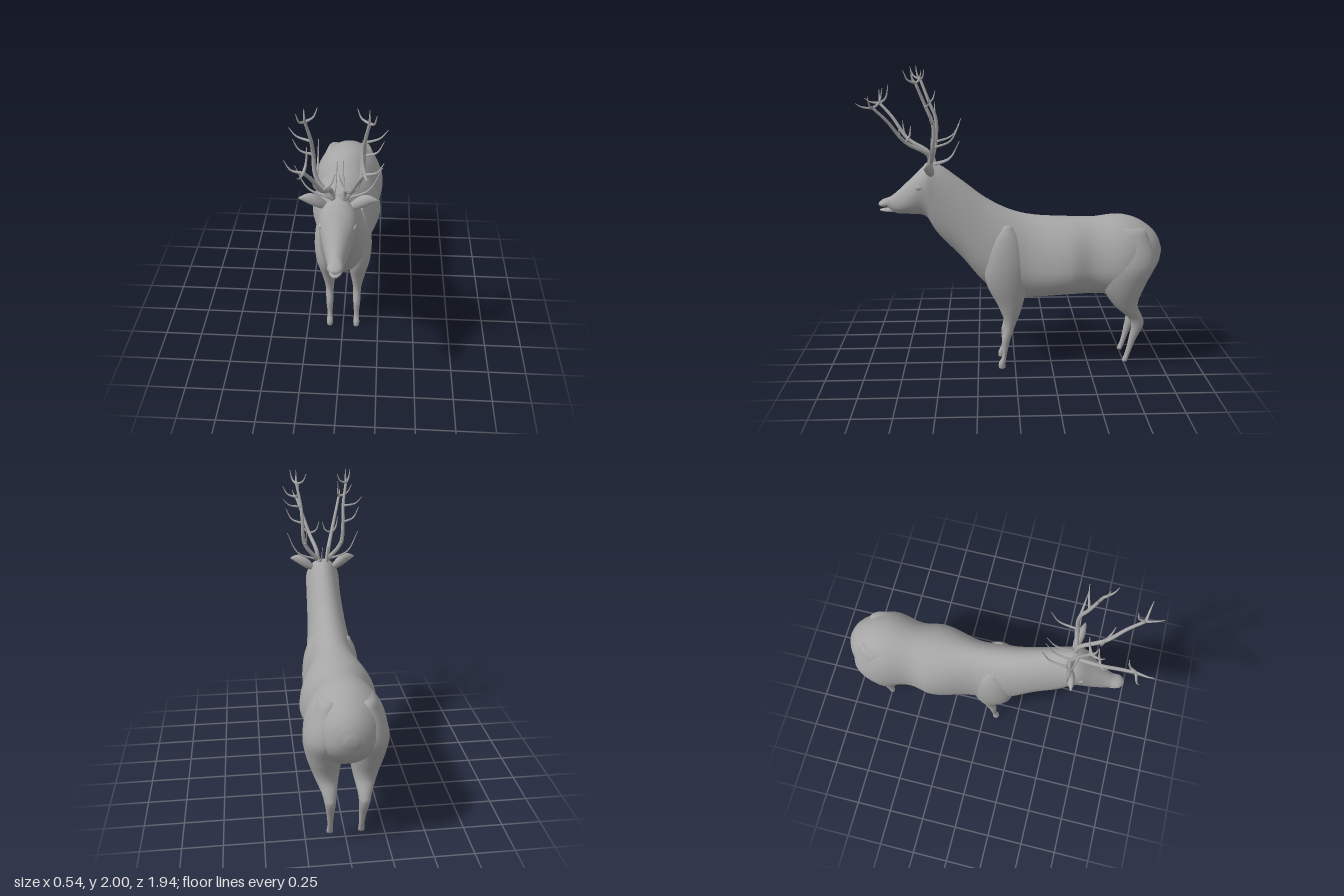
import * as THREE from 'three';

const hide = new THREE.MeshStandardMaterial({ color: 0xa6a6a6 });
hide.name = 'grey hide';

// Closed skin through rings; the winding is turned outward by its signed volume.
function skin(rings) {
  const n = rings[0].length, pos = rings.flat(2), idx = [];
  for (let r = 0; r < rings.length - 1; r++)
    for (let i = 0; i < n; i++) {
      const a = r * n + i, b = r * n + (i + 1) % n;
      idx.push(a, b, a + n, b, b + n, a + n);
    }
  for (const r of [0, rings.length - 1]) {
    const c = pos.length / 3;
    for (let k = 0; k < 3; k++) pos.push(rings[r].reduce((s, p) => s + p[k], 0) / n);
    for (let i = 0; i < n; i++) {
      const a = r * n + i, b = r * n + (i + 1) % n;
      r ? idx.push(a, b, c) : idx.push(b, a, c);
    }
  }
  const p = i => new THREE.Vector3().fromArray(pos, i * 3);
  let volume = 0;
  for (let i = 0; i < idx.length; i += 3) volume += p(idx[i]).dot(p(idx[i + 1]).cross(p(idx[i + 2])));
  if (volume < 0) idx.reverse();
  const g = new THREE.BufferGeometry();
  g.setAttribute('position', new THREE.Float32BufferAttribute(pos, 3));
  g.setIndex(idx);
  g.computeVertexNormals();
  return g;
}

const ring = (sides, point) => Array.from({ length: sides }, (_, j) => point(j / sides * Math.PI * 2));

// Smooth loft: rows start with the position along the axis, point() shapes each ring.
function loft(rows, point, sides = 32, sub = 6) {
  const curve = new THREE.CubicInterpolant(rows.map(r => r[0]), rows.flatMap(r => r.slice(1)), 3);
  const rings = [];
  for (let i = 0; i <= (rows.length - 1) * sub; i++) {
    const k = Math.min(Math.floor(i / sub), rows.length - 2);
    const t = THREE.MathUtils.lerp(rows[k][0], rows[k + 1][0], i / sub - k);
    const v = [...curve.evaluate(t)];
    rings.push(ring(sides, a => point(t, v, a)));
  }
  return skin(rings);
}

// Upright section, widest below the middle on the body and higher up at the brow
const upright = (z, [top, bottom, w], a) => {
  const rise = 0.4 + 0.22 * Math.exp(-(((z - 0.6) / 0.08) ** 2));
  const mid = THREE.MathUtils.lerp(bottom, top, rise), c = Math.cos(a);
  return [w * Math.sin(a), mid + c * (c > 0 ? top - mid : mid - bottom), z];
};

// Level leg section; its centre moves out as the leg widens
const level = (side, lean) => (y, [front, back, w], a) => [
  side * (0.092 + lean * w + w * Math.cos(a)), y,
  (front + back) / 2 + (front - back) / 2 * Math.sin(a),
];

// Tapered tube through points
function horn(points, r0, r1) {
  const curve = new THREE.CatmullRomCurve3(points);
  const n = points.length * 4, { normals, binormals } = curve.computeFrenetFrames(n);
  return skin(normals.map((normal, i) => {
    const c = curve.getPointAt(i / n), r = THREE.MathUtils.lerp(r0, r1, i / n);
    return ring(8, a => c.clone().addScaledVector(normal, r * Math.cos(a))
      .addScaledVector(binormals[i], r * Math.sin(a)).toArray());
  }));
}

// z, top, bottom, half width
const BODY = [
  [-0.972, 0.83, 0.78, 0.03], [-0.95, 0.89, 0.71, 0.09], [-0.88, 0.97, 0.625, 0.17],
  [-0.72, 1.04, 0.52, 0.248], [-0.5, 1.027, 0.51, 0.217], [-0.35, 1.03, 0.505, 0.243],
  [-0.08, 1.052, 0.48, 0.175], [0.05, 1.09, 0.485, 0.17], [0.2, 1.17, 0.585, 0.148],
  [0.35, 1.285, 0.765, 0.128], [0.52, 1.395, 0.95, 0.118], [0.57, 1.385, 1.035, 0.116],
  [0.68, 1.285, 1.06, 0.083], [0.8, 1.18, 1.08, 0.047], [0.82, 1.17, 1.105, 0.045],
  [0.86, 1.155, 1.11, 0.041], [0.882, 1.137, 1.118, 0.018],
];
const JAW = [[0.72, 1.12, 1.07, 0.03], [0.84, 1.1, 1.077, 0.035], [0.875, 1.095, 1.083, 0.014]];

// y, front z, back z, half width
const FRONT_LEG = [
  [0, 0.112, 0.066, 0.02], [0.03, 0.112, 0.066, 0.022], [0.08, 0.09, 0.06, 0.018],
  [0.2, 0.09, 0.035, 0.025], [0.31, 0.07, 0, 0.029], [0.44, 0.11, -0.045, 0.052],
  [0.6, 0.188, -0.075, 0.08], [0.75, 0.2, -0.078, 0.086], [0.92, 0.15, -0.03, 0.062], [1, 0.08, 0.02, 0.03],
];
const HIND_LEG = [
  [0.04, -0.725, -0.76, 0.02], [0.1, -0.745, -0.78, 0.017], [0.2, -0.765, -0.815, 0.022],
  [0.32, -0.775, -0.862, 0.036], [0.36, -0.752, -0.85, 0.043], [0.45, -0.655, -0.812, 0.075],
  [0.6, -0.565, -0.855, 0.112], [0.75, -0.55, -0.915, 0.12], [0.98, -0.66, -0.84, 0.05],
];

// Each beam: its path, and its tines as a path index with a tip
const BEAMS = [
  {
    name: 'forwardBeam',
    path: [[0.03, 1.38, 0.54], [0.04, 1.45, 0.55], [0.08, 1.54, 0.69], [0.125, 1.675, 0.79], [0.155, 1.76, 0.87]],
    tines: [
      [4, 0.175, 1.79, 0.97], [4, 0.25, 1.84, 0.885], [4, 0.14, 1.88, 0.81],
      [2, 0.13, 1.65, 0.725], [2, 0.01, 1.63, 0.66], [0, 0.018, 1.53, 0.355],
    ],
  },
  {
    name: 'uprightBeam',
    path: [[0.035, 1.39, 0.54], [0.125, 1.51, 0.515], [0.14, 1.66, 0.51], [0.145, 1.765, 0.55], [0.17, 1.91, 0.605]],
    tines: [
      [4, 0.208, 1.99, 0.675], [4, 0.17, 2, 0.632], [4, 0.105, 1.98, 0.575],
      [3, 0.27, 1.83, 0.52], [2, 0.25, 1.76, 0.525], [0, 0.245, 1.59, 0.52], [1, 0.125, 1.665, 0.345],
    ],
  },
];

// Leaf-shaped ear reaching sideways from the temple
const ear = side => skin(Array.from({ length: 17 }, (_, i) => {
  const t = i / 16, h = 0.004 + 0.036 * Math.sin(Math.PI * (0.12 + 0.88 * t));
  return ring(20, a => [
    side * (0.06 + 0.165 * t), 1.33 + 0.07 * Math.sin(t * 1.7) + h * Math.cos(a),
    0.53 + 0.03 * t + 0.7 * h * Math.sin(a),
  ]);
}));

export function createModel() {
  const stag = new THREE.Group();
  stag.name = 'stag';
  const add = (name, geometry, parent = stag) => {
    const m = new THREE.Mesh(geometry, hide);
    m.name = name;
    parent.add(m);
    return m;
  };

  add('bodyNeckAndHead', loft(BODY, upright, 48));
  add('lowerJaw', loft(JAW, upright));

  for (const [label, side] of [['left', 1], ['right', -1]]) {
    add(label + 'FrontLeg', loft(FRONT_LEG, level(side, 0.15)));
    add(label + 'HindLeg', loft(HIND_LEG, level(side, 0.33)));
    add(label + 'Ear', ear(side));

    const eye = add(label + 'Eye', new THREE.SphereGeometry(0.02, 20, 14));
    eye.scale.set(0.5, 0.75, 1.1);
    eye.position.set(side * 0.1, 1.25, 0.615);
    eye.rotation.y = side * -0.3;

    const antler = new THREE.Group();
    antler.name = label + 'Antler';
    stag.add(antler);
    for (const { name, path, tines } of BEAMS) {
      const points = path.map(([x, y, z]) => new THREE.Vector3(side * x, y, z));
      add(name, horn(points, 0.015, 0.009), antler);
      // Tines run outward first, then curl up to the tip
      for (const [i, x, y, z] of tines) {
        const root = points[i], tip = new THREE.Vector3(side * x, y, z);
        const bend = root.clone().lerp(tip, 0.65);
        bend.y = THREE.MathUtils.lerp(root.y, tip.y, 0.28);
        add('tine', horn([root, bend, tip], 0.009, 0.002), antler);
      }
    }
  }
  return stag;
}
